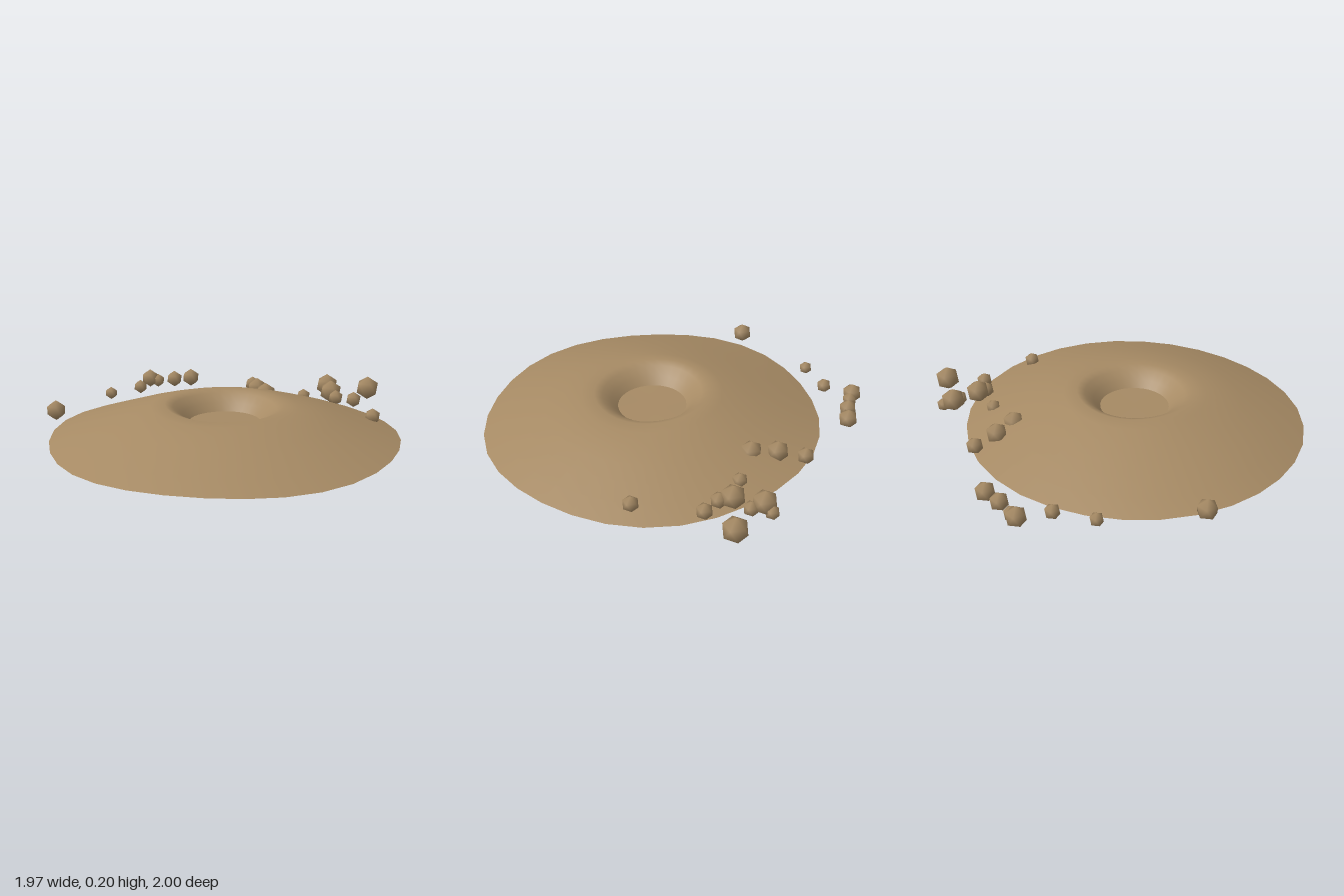
import * as THREE from 'three';
import { mergeVertices } from 'three/addons/utils/BufferGeometryUtils.js';

const EDGE = 0.88;

// Welds a geometry so its normals are smooth
function smooth(geometry) {
  geometry.deleteAttribute('uv');
  geometry.deleteAttribute('normal');
  const welded = mergeVertices(geometry, 1e-4);
  welded.computeVertexNormals();
  return welded;
}

// Turned profile with a slightly uneven outer edge and tilted rim
function uneven(profile) {
  const geometry = new THREE.LatheGeometry(profile.map(([r, y]) => new THREE.Vector2(r, y)), 32);
  const p = geometry.attributes.position;
  for (let i = 0; i < p.count; i++) {
    const x = p.getX(i), y = p.getY(i), z = p.getZ(i);
    const r = Math.hypot(x, z), a = Math.atan2(x, z);
    const edge = Math.pow(r / EDGE, 6);
    const rim = Math.exp(-Math.pow((r - 0.3) / 0.09, 2));
    const dy = edge * (-0.008 * Math.cos(a) - 0.006 * Math.cos(4 * a) + 0.005 * Math.sin(a))
      + rim * (-0.01 * Math.cos(a) + 0.003 * Math.cos(3 * a));
    const k = 1 + edge * 0.006 * Math.sin(5 * a + 1);
    p.setXYZ(i, x * k, Math.max(0, y + dy), z * k);
  }
  return smooth(geometry);
}

export function createModel() {
  const model = new THREE.Group();
  const earth = new THREE.MeshStandardMaterial({ color: 0xa68a64 });
  earth.name = 'earth brown';

  const add = (parent, name, geometry, x, y, z) => {
    const mesh = new THREE.Mesh(geometry, earth);
    mesh.name = name;
    mesh.position.set(x, y, z);
    parent.add(mesh);
    return mesh;
  };

  // Mound: outer slope and crater wall, flat floor, shallow underside
  const mound = new THREE.Group();
  mound.name = 'mound';
  mound.position.set(-0.11, 0, 0.12);
  model.add(mound);
  add(mound, 'slopeAndCraterWall', uneven([
    [EDGE, 0.024], [0.77, 0.064], [0.66, 0.1], [0.56, 0.133], [0.46, 0.161], [0.37, 0.181],
    [0.3, 0.19], [0.26, 0.174], [0.215, 0.137], [0.18, 0.1],
  ]), 0, 0, 0);
  add(mound, 'craterFloor', uneven([[0.18, 0.1], [0, 0.1]]), 0, 0, 0);
  add(mound, 'underside', uneven([[0, 0], [0.7, 0.003], [EDGE, 0.024]]), 0, 0, 0);

  // Thrown-out rocks: smooth icosahedra with a corner pointing up
  const rock = new THREE.IcosahedronGeometry(1, 0);
  rock.rotateX(-Math.atan((1 + Math.sqrt(5)) / 2));
  rock.rotateY(-Math.PI / 2);
  const rockGeometry = smooth(rock);
  const rocks = new THREE.Group();
  rocks.name = 'rocks';
  model.add(rocks);
  // x, z, radius
  [
    [-0.78, -0.52, 0.054], [-0.365, -0.79, 0.036], [-0.165, -0.835, 0.04], [-0.05, -0.955, 0.053],
    [-0.01, -0.93, 0.04], [0.08, -0.89, 0.048], [0.175, -0.86, 0.052], [0.435, -0.56, 0.045],
    [0.39, -0.43, 0.057], [0.37, -0.3, 0.058], [0.56, -0.2, 0.04], [0.23, -0.41, 0.037],
    [0.765, -0.27, 0.064], [0.81, -0.295, 0.037], [0.77, -0.205, 0.04], [0.7, -0.135, 0.063],
    [0.69, -0.07, 0.043], [0.755, 0.01, 0.043], [0.925, -0.095, 0.066], [0.645, 0.335, 0.042],
  ].forEach(([x, z, r]) => add(rocks, 'rock', rockGeometry, x, 0.036 + r, z).scale.setScalar(r));

  return model;
}
